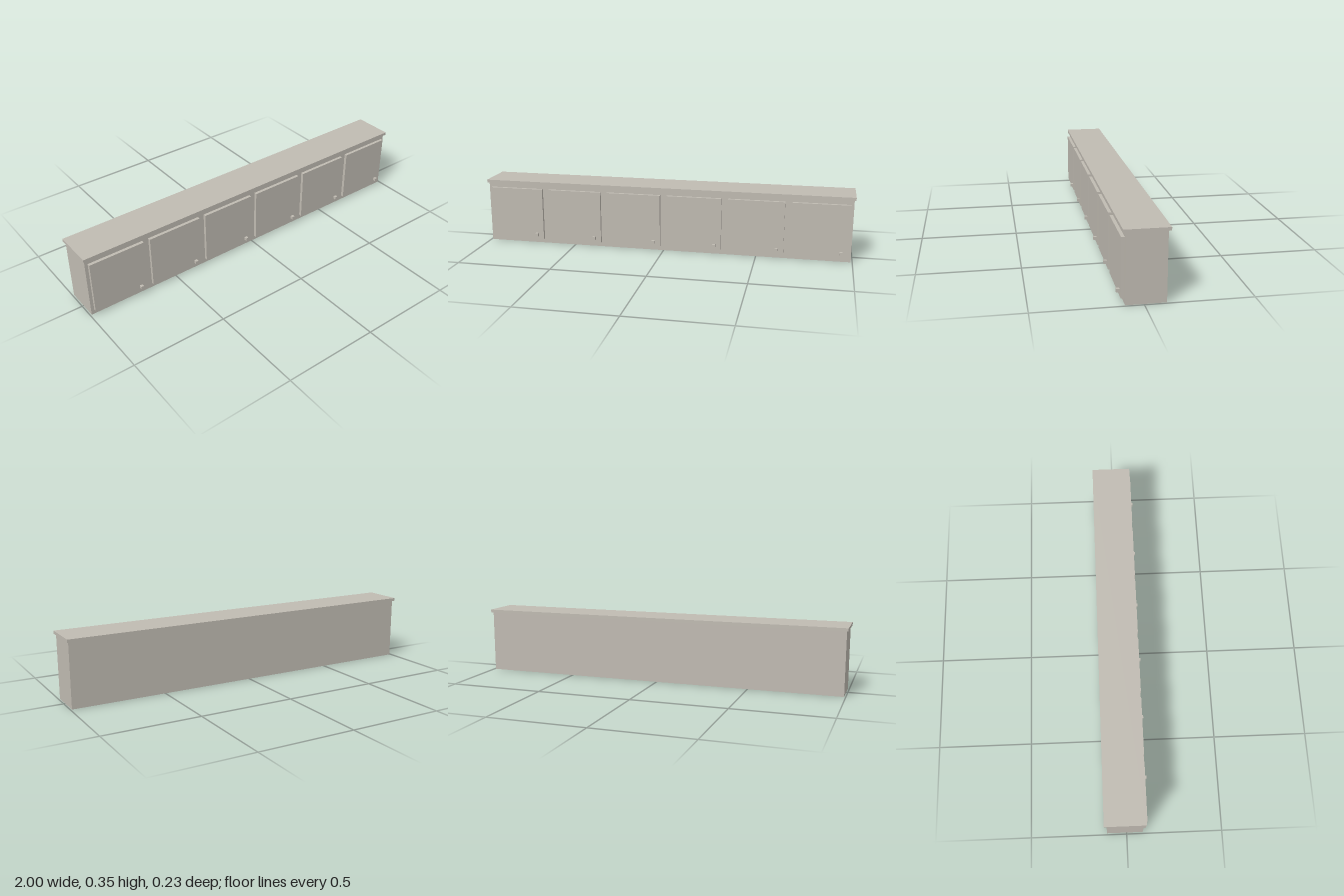
import * as THREE from 'three';

export function createModel() {
  const model = new THREE.Group();
  model.name = 'wallCabinet';

  const paint = new THREE.MeshStandardMaterial({ color: 0xc0bbb2 });
  paint.name = 'warm grey paint';

  // Adds a box spanning the given x, y and z ranges
  function addBox(parent, name, [x0, x1], [y0, y1], [z0, z1]) {
    const mesh = new THREE.Mesh(new THREE.BoxGeometry(x1 - x0, y1 - y0, z1 - z0), paint);
    mesh.position.set((x0 + x1) / 2, (y0 + y1) / 2, (z0 + z1) / 2);
    mesh.name = name;
    parent.add(mesh);
  }

  // Long carcass with an overhanging top board
  addBox(model, 'carcass', [-0.992, 0.992], [0, 0.333], [-0.102, 0.084]);
  addBox(model, 'topBoard', [-1, 1], [0.333, 0.349], [-0.114, 0.096]);

  // Six doors, each with a small square knob in its lower corner
  const doorCount = 6, pitch = 0.331, halfDoor = 0.148;
  for (let i = 0; i < doorCount; i++) {
    const unit = new THREE.Group();
    unit.name = `doorUnit${i + 1}`;
    unit.position.x = (i - (doorCount - 1) / 2) * pitch;
    addBox(unit, 'door', [-halfDoor, halfDoor], [0.025, 0.308], [0.084, 0.1]);
    addBox(unit, 'knob', [0.104, 0.12], [0.043, 0.059], [0.1, 0.116]);
    model.add(unit);
  }

  return model;
}
